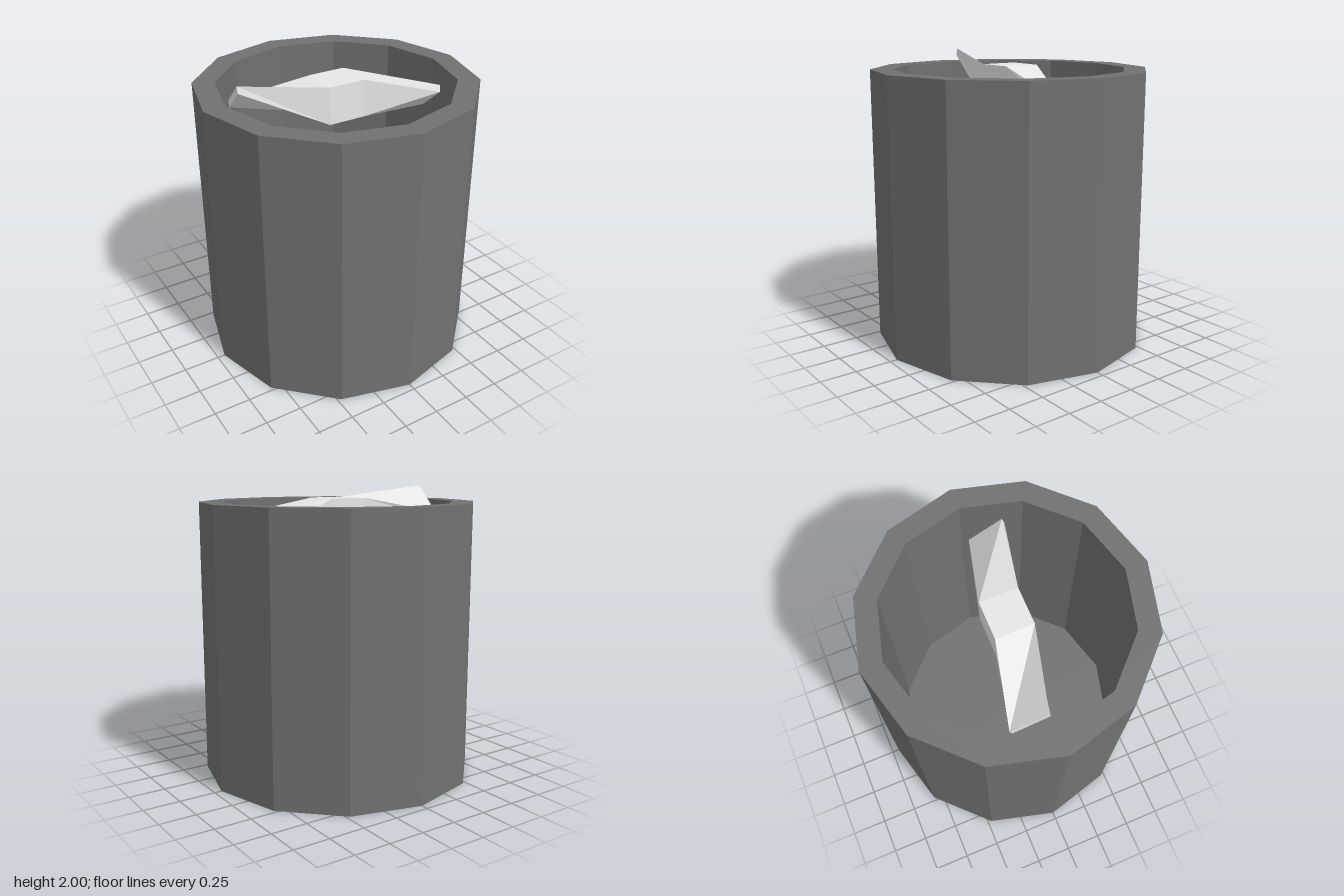
import * as THREE from 'three';

// Loft a closed solid through four-cornered cross-sections running along +x
function loft(sections) {
  const index = [];
  for (let s = 0; s < sections.length - 1; s++) {
    for (let i = 0; i < 4; i++) {
      const j = (i + 1) % 4;
      const a = s * 4 + i, b = s * 4 + j;
      index.push(a, b, b + 4, a, b + 4, a + 4);
    }
  }
  const e = (sections.length - 1) * 4;
  index.push(0, 2, 1, 0, 3, 2, e, e + 1, e + 2, e, e + 2, e + 3); // end caps
  const geo = new THREE.BufferGeometry();
  geo.setAttribute('position', new THREE.Float32BufferAttribute(sections.flat(2), 3));
  geo.setIndex(index);
  return faceted(geo);
}

function faceted(geo) {
  const flat = geo.toNonIndexed();
  flat.computeVertexNormals();
  return flat;
}

export function createModel() {
  const model = new THREE.Group();
  const darkGrey = new THREE.MeshStandardMaterial({ color: 0x717171, flatShading: true });
  darkGrey.name = 'dark grey';
  const lightGrey = new THREE.MeshStandardMaterial({ color: 0xe7e7e7, flatShading: true });
  lightGrey.name = 'light grey';

  // Twelve-sided housing: outer wall, rim, inner wall and floor
  const profile = [[0, 0], [0.95, 0], [0.95, 1.9], [0.8, 1.9], [0.8, 0.15], [0, 0.15]]
    .map(([r, y]) => new THREE.Vector2(r, y));
  const housing = new THREE.Mesh(faceted(new THREE.LatheGeometry(profile, 12)), darkGrey);
  housing.name = 'housing';
  model.add(housing);

  // Propeller about its hub centre; corners: top back, top front, bottom front, bottom back
  const h = 0.13;
  const hub = (x) => [[x, h, -h], [x, h, h], [x, -h, h], [x, -h, -h]];
  const leftTip = [[-0.665, 0.025, -0.26], [-0.705, 0.205, -0.03], [-0.705, 0.16, -0.02], [-0.67, -0.02, -0.245]];
  // The opposite tip is the same one mirrored through the hub centre
  const rightTip = leftTip.map((_, i) => leftTip[(i + 2) % 4].map((v) => -v));
  const propeller = new THREE.Mesh(loft([leftTip, hub(-h), hub(h), rightTip]), lightGrey);
  propeller.name = 'propeller';
  propeller.position.y = 1.795;
  model.add(propeller);

  return model;
}
